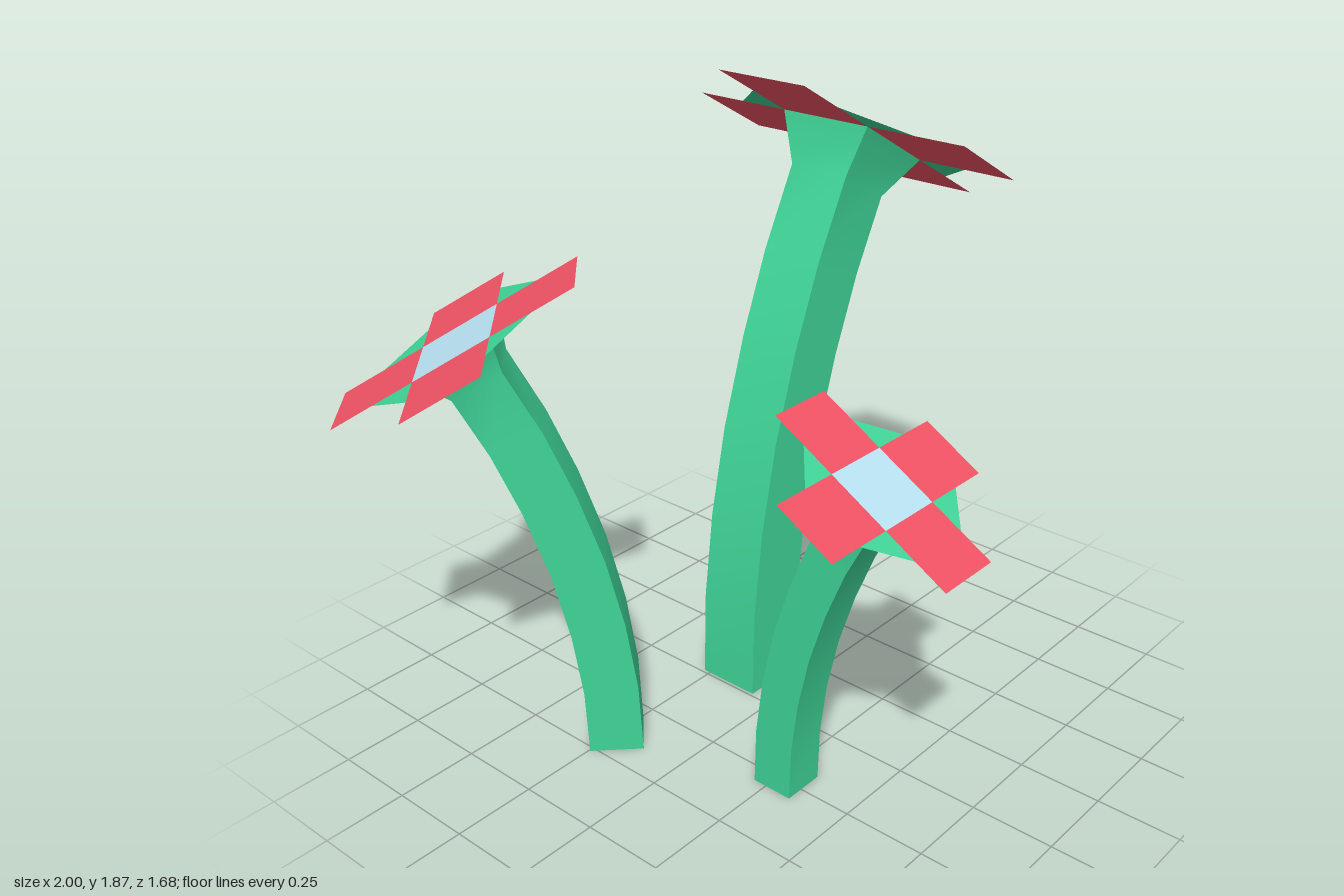
import * as THREE from 'three';

const paint = (color) => new THREE.MeshStandardMaterial({ color, side: THREE.DoubleSide });
const green = paint(0x3fd497);
const red = paint(0xf05264);
const blue = paint(0xb8e2f2);
const grey = paint(0xcccccc);

const HALF = 0.152;  // half side of the flower centre
const REACH = 0.478; // centre to petal tip
const LEG = 0.16;    // short sides of the corner leaves

// Stem cross-sections: centre x, centre y, lean in degrees, half width
const RINGS = [
  [0, 0, 0, 0.1], [0.01, 0.265, 5, 0.1], [0.045, 0.525, 11, 0.1], [0.105, 0.79, 15, 0.1],
  [0.19, 1.05, 20, 0.1], [0.287, 1.285, 24, 0.1], [0.403, 1.506, 30, 0.1], [0.473, 1.627, 30, HALF],
];
const CORNERS = [[-1, -1], [-1, 1], [1, 1], [1, -1]];

function add(parent, name, geometry, material) {
  const mesh = new THREE.Mesh(geometry, material);
  mesh.name = name;
  parent.add(mesh);
  return mesh;
}

// Square tube with sharp corners, smooth along its length
function stemGeometry() {
  const positions = [], index = [];
  for (let side = 0; side < 4; side++) {
    const start = positions.length / 3;
    RINGS.forEach(([x, y, lean, half], i) => {
      const a = THREE.MathUtils.degToRad(lean);
      for (const [u, w] of [CORNERS[side], CORNERS[(side + 1) % 4]]) {
        positions.push(x + u * half * Math.cos(a), y - u * half * Math.sin(a), w * half);
      }
      if (i > 0) {
        const b = start + 2 * (i - 1);
        index.push(b, b + 1, b + 3, b, b + 3, b + 2);
      }
    });
  }
  const geometry = new THREE.BufferGeometry();
  geometry.setAttribute('position', new THREE.Float32BufferAttribute(positions, 3));
  geometry.setIndex(index);
  geometry.computeVertexNormals();
  return geometry;
}

// Flat upward-facing polygon from [x, y] points
function flat(points) {
  const shape = new THREE.Shape(points.map(([x, y]) => new THREE.Vector2(x, y)));
  return new THREE.ShapeGeometry(shape).rotateX(-Math.PI / 2);
}

function flower(name, x, z, turn, scale) {
  const group = new THREE.Group();
  group.name = name;
  add(group, 'stem', stemGeometry(), green);
  add(group, 'stemBase', new THREE.PlaneGeometry(0.2, 0.2).rotateX(Math.PI / 2), grey);

  // Tilted head: square centre, four petals, four corner leaves
  const head = new THREE.Group();
  head.name = 'flowerHead';
  head.position.set(0.473, 1.627, 0);
  head.rotation.z = -Math.PI / 6;
  add(head, 'flowerCentre', flat([[-HALF, -HALF], [HALF, -HALF], [HALF, HALF], [-HALF, HALF]]), blue);
  const petal = flat([[HALF, -HALF], [REACH, -HALF], [REACH, HALF], [HALF, HALF]]);
  const leaf = flat([[HALF, HALF], [HALF + LEG, HALF], [HALF, HALF + LEG]]);
  for (let i = 0; i < 4; i++) {
    add(head, 'petal', petal, red).rotation.y = i * Math.PI / 2;
    add(head, 'cornerLeaf', leaf, green).rotation.y = i * Math.PI / 2;
  }
  group.add(head);

  group.position.set(x, 0, z);
  group.rotation.y = turn;
  group.scale.setScalar(scale);
  return group;
}

export function createModel() {
  const model = new THREE.Group();
  model.name = 'flowers';
  model.add(
    flower('largeFlower', 0.11, -0.172, 0, 1),
    flower('mediumFlower', -0.405, -0.245, Math.PI * 0.75, 0.78),
    flower('smallFlower', -0.24, 0.272, -Math.PI / 2, 0.637),
  );
  return model;
}
